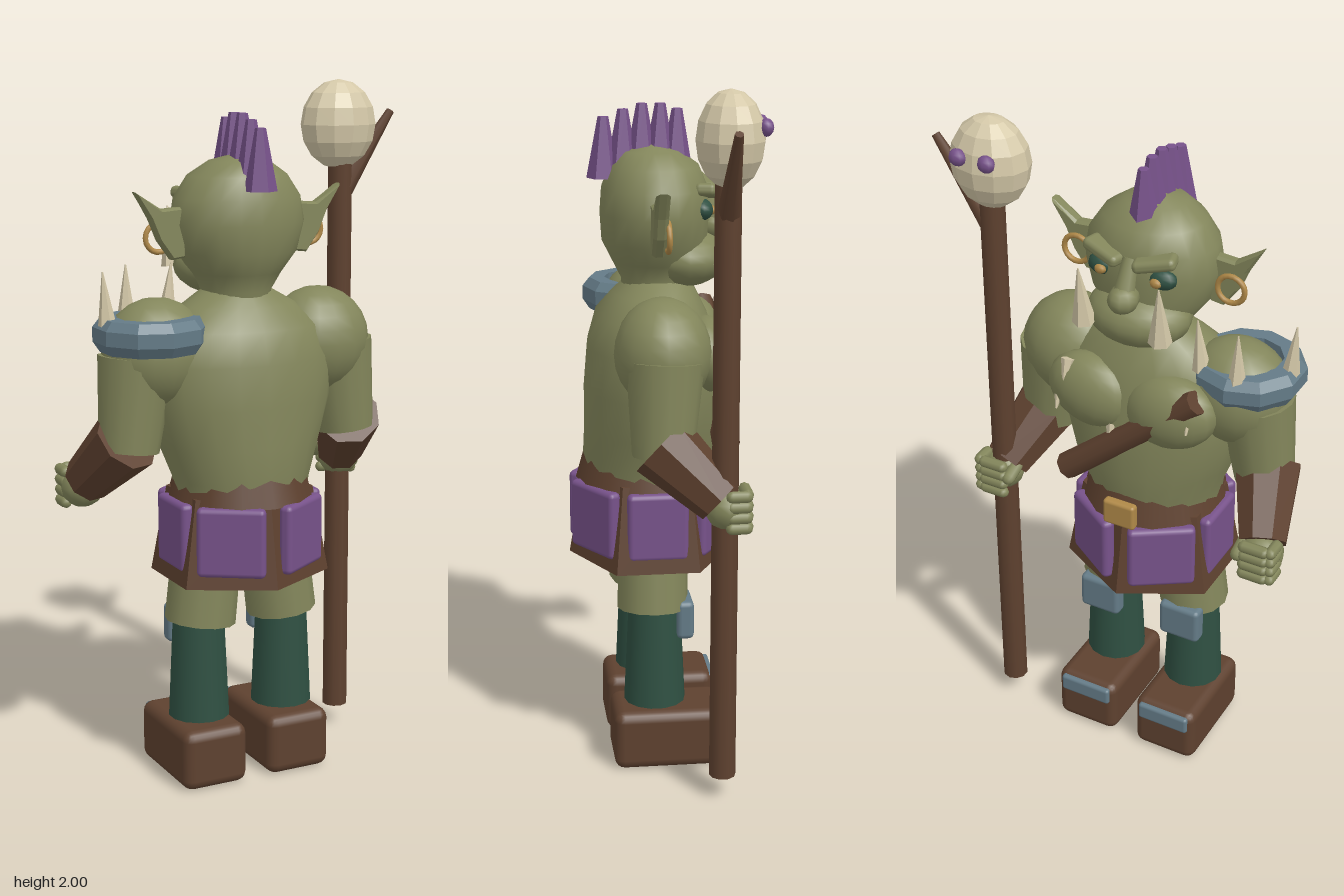
import * as THREE from 'three';
import { RoundedBoxGeometry } from 'three/addons/geometries/RoundedBoxGeometry.js';

const V = (x, y, z) => new THREE.Vector3(x, y, z);

export function createModel() {
  const colour = (name, hex) => {
    const m = new THREE.MeshStandardMaterial({ color: hex });
    m.name = name;
    return m;
  };
  const skin = colour('olive skin', 0x83865b);
  const leather = colour('brown leather', 0x5e412f);
  const purple = colour('purple', 0x77528a);
  const steel = colour('blue steel', 0x647b87);
  const green = colour('dark green', 0x2f5042);
  const bone = colour('bone', 0xd4c8a8);
  const gold = colour('gold', 0xb08948);

  const model = new THREE.Group();
  const body = new THREE.Group();
  body.name = 'body';
  body.position.x = -0.05;
  model.add(body);

  const add = (name, geo, mat, pos = [0, 0, 0], rot = [0, 0, 0], parent = body) => {
    const m = new THREE.Mesh(geo, mat);
    m.name = name;
    m.position.set(...pos);
    m.rotation.set(...rot);
    parent.add(m);
    return m;
  };
  const flat = (geo) => {
    const g = geo.index ? geo.toNonIndexed() : geo;
    g.computeVertexNormals();
    return g;
  };
  const ball = (rx, ry, rz, w = 16, h = 12) => new THREE.SphereGeometry(1, w, h).scale(rx, ry, rz);
  const box = (w, h, d, r = 0.015) => new RoundedBoxGeometry(w, h, d, 2, r);
  // Tapered rod from a to b
  const rod = (name, a, b, r1, r2, mat, sides = 12, faceted = false, parent = body) => {
    const dir = V(...b).sub(V(...a));
    let geo = new THREE.CylinderGeometry(r2, r1, dir.length(), sides);
    if (faceted) geo = flat(geo);
    const m = add(name, geo, mat, [0, 0, 0], [0, 0, 0], parent);
    m.position.copy(V(...a)).addScaledVector(dir, 0.5);
    m.quaternion.setFromUnitVectors(V(0, 1, 0), dir.normalize());
    return m;
  };
  // Smooth skin through elliptical sections [y, rx, rz, zCentre], bottom to top
  const loft = (sections, n = 20) => {
    const p = [], idx = [];
    sections.forEach(([y, rx, rz, zc], j) => {
      for (let i = 0; i < n; i++) {
        const a = (i / n) * Math.PI * 2, k = (i + 1) % n;
        p.push(rx * Math.sin(a), y, zc + rz * Math.cos(a));
        if (j < sections.length - 1) {
          const o = j * n, t = o + n;
          idx.push(o + i, o + k, t + k, o + i, t + k, t + i);
        }
      }
    });
    const g = new THREE.BufferGeometry();
    g.setAttribute('position', new THREE.Float32BufferAttribute(p, 3));
    g.setIndex(idx);
    g.computeVertexNormals();
    return g;
  };

  // Torso and chest
  add('torso', loft([
    [0.8, 0.19, 0.17, 0.02], [0.9, 0.2, 0.19, 0.02], [1.0, 0.24, 0.195, 0.01], [1.12, 0.275, 0.195, 0.01],
    [1.24, 0.285, 0.185, 0.01], [1.33, 0.25, 0.16, 0.01], [1.39, 0.17, 0.12, 0], [1.43, 0.1, 0.09, -0.01],
  ]), skin);
  for (const s of [-1, 1]) add('chestMuscle', ball(0.14, 0.11, 0.08), skin, [s * 0.12, 1.23, -0.13], [0, 0, s * 0.2]);

  // Head
  add('head', loft([
    [1.33, 0.1, 0.1, -0.01], [1.43, 0.1, 0.105, -0.01], [1.48, 0.13, 0.13, -0.01], [1.54, 0.175, 0.15, 0],
    [1.62, 0.197, 0.155, 0], [1.69, 0.185, 0.15, 0], [1.75, 0.145, 0.125, 0], [1.79, 0.085, 0.08, 0.01],
    [1.812, 0.001, 0.001, 0.01],
  ]), skin);
  add('jaw', ball(0.15, 0.085, 0.12), skin, [0, 1.49, -0.085]);
  add('nose', ball(0.042, 0.04, 0.05, 10, 8), skin, [0, 1.575, -0.175]);
  rod('noseBridge', [0, 1.57, -0.18], [0, 1.68, -0.135], 0.032, 0.022, skin, 8);

  for (const s of [-1, 1]) {
    // Face details
    add('eyeSocket', ball(0.042, 0.03, 0.03, 10, 8), green, [s * 0.09, 1.635, -0.125]);
    add('eye', ball(0.018, 0.014, 0.012, 8, 6), gold, [s * 0.083, 1.632, -0.151]);
    add('brow', box(0.12, 0.035, 0.06), skin, [s * 0.075, 1.685, -0.14], [0, s * -0.25, s * 0.22]);
    rod('tusk', [s * 0.115, 1.48, -0.185], [s * 0.12, 1.65, -0.205], 0.033, 0.002, bone, 6, true);

    // Pointed ear
    const outline = [[0.17, 1.53], [0.21, 1.525], [0.25, 1.58], [0.275, 1.64], [0.318, 1.715], [0.24, 1.665], [0.17, 1.67]];
    const shape = new THREE.Shape(outline.map(([x, y]) => new THREE.Vector2(s * x, y)));
    add('ear', new THREE.ExtrudeGeometry(shape, {
      depth: 0.02, bevelThickness: 0.01, bevelSize: 0.006, bevelOffset: -0.006, bevelSegments: 1,
    }), skin, [0, 0, 0]);
    add('earring', new THREE.TorusGeometry(0.04, 0.008, 8, 18), gold, [s * 0.235, 1.585, -0.012]);
  }

  // Mohawk
  [[0.145, 1.885], [0.09, 1.905], [0.037, 1.92], [-0.015, 1.92], [-0.062, 1.905]].forEach(([z, top]) =>
    rod('mohawkSpike', [0, top - 0.17, z], [0, top, z - 0.002], 0.046, 0.015, purple, 6, true));

  // Arms
  for (const s of [-1, 1]) {
    add('shoulder', ball(0.155, 0.155, 0.135), skin, [s * 0.255, 1.268, 0.005]);
    rod('upperArm', [s * 0.315, 1.26, 0.005], [s * 0.345, 1.0, 0.015], 0.108, 0.085, skin, 14);
    rod('bracer', [s * 0.352, 1.035, 0.02], [s * 0.415, 0.89, -0.135], 0.098, 0.07, leather, 8, true);
    add('hand', ball(0.065, 0.06, 0.06, 10, 8), skin, [s * 0.42, 0.87, -0.15]);
    for (let i = 0; i < 4; i++) {
      const y = 0.915 - i * 0.03;
      add('finger', new THREE.CapsuleGeometry(0.017, 0.06, 3, 8), skin,
        [s * 0.42, y, -0.205], [0, 0, Math.PI / 2]);
      add('knuckle', new THREE.CapsuleGeometry(0.017, 0.04, 3, 8), skin,
        [s * 0.468, y, -0.18], [Math.PI / 2, 0, 0]);
    }
    add('thumb', new THREE.CapsuleGeometry(0.02, 0.05, 3, 8), skin, [s * 0.37, 0.89, -0.18], [1.2, 0, 0]);
  }

  // Spiked shoulder guard
  const ring = [[0.095, -0.04], [0.14, -0.05], [0.16, -0.02], [0.16, 0.02], [0.14, 0.045], [0.095, 0.045], [0.095, -0.04]];
  add('shoulderGuard', flat(new THREE.LatheGeometry(ring.map(([r, y]) => new THREE.Vector2(r, y)), 10)), steel,
    [-0.28, 1.33, 0.025]);
  [[-0.405, 0.02, -0.012], [-0.3, -0.095, 0], [-0.185, -0.075, 0.015]].forEach(([x, z, lean]) =>
    rod('guardSpike', [x, 1.355, z], [x + lean, 1.505, z], 0.026, 0.002, bone, 6, true));

  // Baton and tooth charms across the chest
  rod('chestBaton', [0.18, 0.98, -0.185], [-0.215, 1.31, -0.165], 0.04, 0.036, leather, 8);
  [[0.18, 1.3], [0.205, 1.22], [0.04, 1.13], [-0.2, 1.26]].forEach(([x, y]) => {
    rod('toothCharm', [x, y + 0.03, -0.165], [x, y - 0.045, -0.195], 0.02, 0.003, bone, 6, true);
  });

  // Belt, buckle and skirt
  add('belt', new THREE.CylinderGeometry(0.185, 0.21, 0.09, 14).scale(1, 1, 1.03), leather, [0, 0.885, 0.015]);
  add('buckle', box(0.1, 0.08, 0.03, 0.01), gold, [0, 0.885, -0.2]);
  add('skirt', flat(new THREE.CylinderGeometry(0.205, 0.25, 0.25, 6)).scale(1.05, 1, 0.96), leather, [0, 0.735, 0.012]);
  for (const a of [0.575, Math.PI / 2, Math.PI - 0.575]) {
    for (const s of [-1, 1]) {
      add('skirtPanel', box(a === Math.PI / 2 ? 0.175 : 0.195, 0.2, 0.04),
        purple, [s * 0.203 * Math.sin(a), 0.745, 0.012 + 0.203 * Math.cos(a)], [0, s * a, 0]);
    }
  }

  // Legs and shoes
  for (const s of [-1, 1]) {
    rod('thigh', [s * 0.132, 0.475, 0.02], [s * 0.1, 0.75, 0.015], 0.103, 0.1, skin, 12);
    add('boot', new THREE.CylinderGeometry(0.075, 0.09, 0.32, 14), green, [s * 0.135, 0.35, 0.015]);
    add('kneePlate', box(0.13, 0.115, 0.05), steel, [s * 0.135, 0.45, -0.07]);
    add('shoe', box(0.2, 0.178, 0.325, 0.03), leather, [s * 0.135, 0.089, -0.022]);
    add('toePlate', box(0.165, 0.055, 0.04, 0.01), steel, [s * 0.135, 0.14, -0.172]);
  }

  // Staff with a skull
  const staff = new THREE.Group();
  staff.name = 'staff';
  staff.position.set(0.365, 0, -0.148);
  model.add(staff);
  rod('staffPole', [0, 0.068, 0], [0, 1.78, 0], 0.038, 0.036, leather, 10, false, staff);
  rod('staffBranch', [0.01, 1.68, 0], [0.17, 1.905, 0], 0.032, 0.012, leather, 7, false, staff);
  add('skull', flat(ball(0.116, 0.13, 0.092, 12, 8)), bone, [-0.005, 1.87, -0.005], [0, 0, 0], staff);
  for (const x of [-0.046, 0.042]) {
    add('skullEye', ball(0.026, 0.024, 0.02, 8, 6), purple, [x, 1.905, -0.09], [0, 0, 0], staff);
  }
  return model;
}
